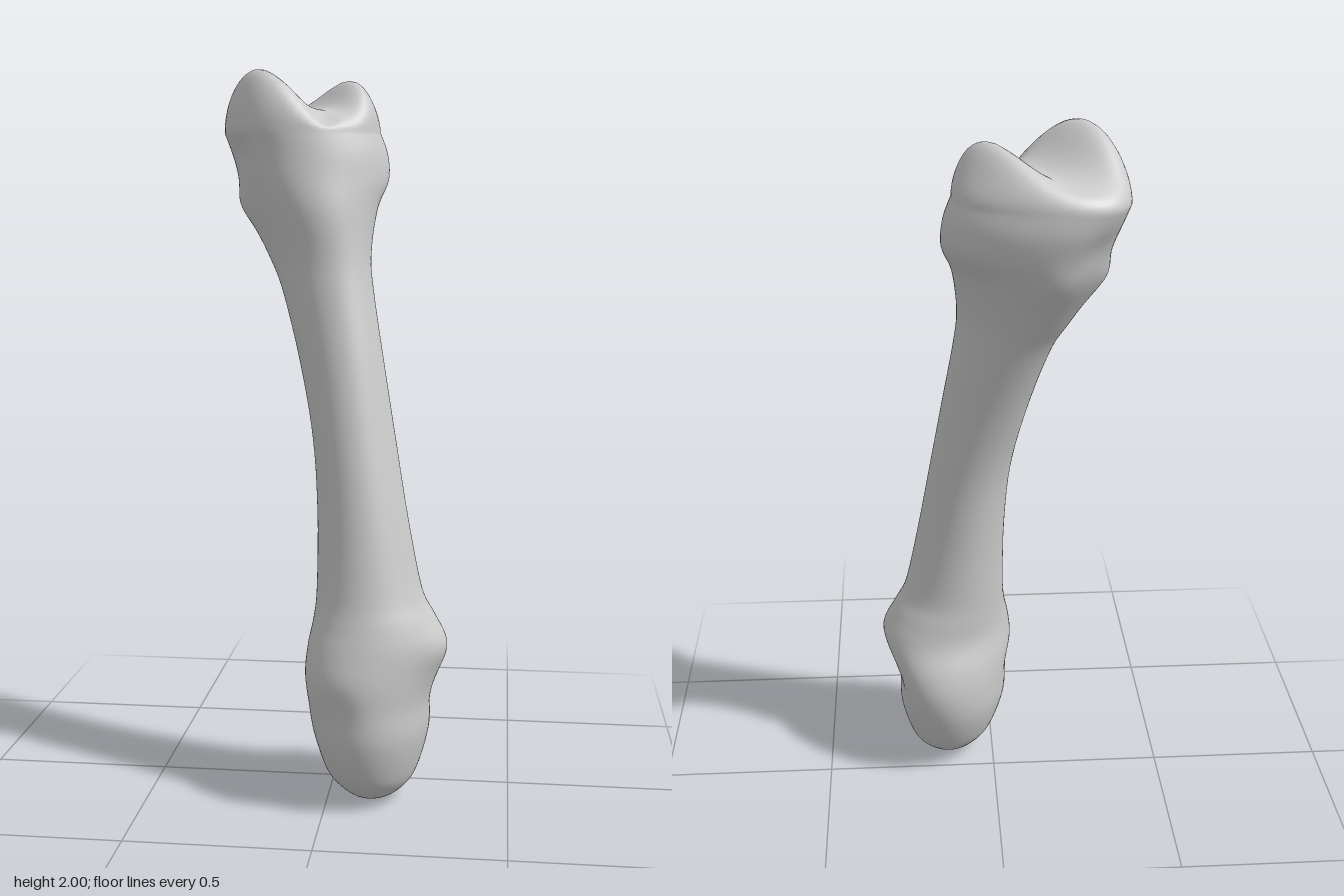
import * as THREE from 'three';

// The bone is lofted in its own axes: u runs across it, v runs from its back to its front.
// Section: [y, uMin, uMax, vMin, vMax, skew (v per u), taper (wider toward the front)]
const SECTIONS = [
  [0.00, -0.001, 0.001, 0.176, 0.178, -0.1, 0],
  [0.012, -0.06, 0.06, 0.125, 0.23, -0.1, 0],
  [0.05, -0.112, 0.112, 0.08, 0.277, -0.12, 0],
  [0.10, -0.15, 0.15, 0.045, 0.303, -0.14, 0],
  [0.20, -0.185, 0.188, 0.01, 0.327, -0.15, 0],
  [0.29, -0.205, 0.21, 0.003, 0.328, -0.13, 0],
  [0.37, -0.208, 0.214, 0.008, 0.336, -0.05, 0],
  [0.45, -0.19, 0.198, 0.025, 0.34, 0.06, 0],
  [0.52, -0.165, 0.17, 0.025, 0.325, 0.05, 0],
  [0.60, -0.145, 0.14, 0.02, 0.298, 0.02, 0],
  [0.80, -0.122, 0.118, 0.006, 0.25, 0, 0],
  [1.00, -0.11, 0.11, -0.022, 0.202, 0, 0],
  [1.20, -0.106, 0.11, -0.086, 0.155, 0, 0],
  [1.40, -0.11, 0.12, -0.172, 0.105, 0, 0],
  [1.50, -0.118, 0.13, -0.238, 0.085, 0.04, 0.03],
  [1.62, -0.145, 0.165, -0.315, 0.07, 0.08, 0.08],
  [1.70, -0.158, 0.212, -0.355, 0.06, 0.12, 0.18],
  [1.77, -0.168, 0.22, -0.39, 0.048, 0.14, 0.22],
  [1.83, -0.183, 0.207, -0.405, 0.03, 0.15, 0.22],
];

// Hollows (negative) and bumps (positive): [u, v, y, radius, amount]
const DETAILS = [
  [-0.19, 0.24, 0.28, 0.07, -0.016],
  [0.18, 0.24, 0.31, 0.07, -0.02],
  [0.11, 0.32, 0.44, 0.07, 0.016],
  [-0.13, 0.06, 0.30, 0.06, -0.01],
  [-0.1, -0.29, 1.63, 0.06, 0.014],
  [0.1, -0.29, 1.63, 0.06, 0.012],
  [0.02, -0.38, 1.74, 0.07, -0.016],
  [-0.17, -0.2, 1.78, 0.06, -0.01],
];

const SIDES = 72;
const STEPS = 5;
const CAP_RINGS = 18;

const gauss = (d, r) => Math.exp(-(d * d) / (r * r));
const toWorld = (u, v, y) => [(u + v) * Math.SQRT1_2, y, (v - u) * Math.SQRT1_2];

// Catmull-Rom interpolation of whole section rows
function sectionAt(t) {
  const last = SECTIONS.length - 1;
  const i = Math.min(Math.floor(t), last - 1);
  const f = t - i;
  const row = (k) => SECTIONS[Math.max(0, Math.min(last, k))];
  return row(i).map((p1, c) => {
    const p0 = row(i - 1)[c], p2 = row(i + 1)[c], p3 = row(i + 2)[c];
    return p1 + 0.5 * f * (p2 - p0 + f * (2 * p0 - 5 * p1 + 4 * p2 - p3 + f * (3 * (p1 - p2) + p3 - p0)));
  });
}

// Point of a section outline, scaled by r about its centre; shaft and base flare are squarer
function outline([y, u0, u1, v0, v1, skew, taper], angle, r = 1) {
  const power = 1 - 0.08 * gauss(y - 1, 0.45) - 0.1 * gauss(y - 1.62, 0.1);
  const round = (n) => Math.sign(n) * Math.abs(n) ** power;
  const a = round(Math.cos(angle)), b = round(Math.sin(angle));
  const du = (u1 - u0) / 2 * a * (1 + taper * b) * r;
  const dv = (v1 - v0) / 2 * b * r + skew * du;
  const u = (u0 + u1) / 2 + du;
  const v = (v0 + v1) / 2 + dv;
  const len = Math.hypot(du, dv) || 1;
  let push = 0;
  for (const [pu, pv, py, radius, amount] of DETAILS) {
    push += amount * gauss(Math.hypot(u - pu, v - pv, y - py), radius);
  }
  push *= r * Math.min(1, len / 0.08);
  return [u + du / len * push, v + dv / len * push];
}

// Saddle-shaped joint surface: two ridges with a trough that drops at the front
function topHeight(u, v) {
  return 1.885
    + 0.135 * gauss(u + 0.14, 0.09) * gauss(v + 0.19, 0.22)
    + 0.1 * gauss(u - 0.135, 0.06) * gauss(v + 0.07, 0.19)
    - 0.04 * gauss(u + 0.04, 0.04) * gauss(v - 0.01, 0.06);
}

function boneGeometry() {
  const positions = [];
  const index = [];
  const addRing = (point) => {
    for (let j = 0; j < SIDES; j++) positions.push(...point(j / SIDES * Math.PI * 2));
  };

  // Rounded lower head, shaft and flared base
  const count = (SECTIONS.length - 1) * STEPS;
  for (let i = 0; i <= count; i++) {
    const section = sectionAt(i / STEPS);
    addRing((angle) => toWorld(...outline(section, angle), section[0]));
  }

  // Joint surface closing the top
  const rim = SECTIONS[SECTIONS.length - 1];
  for (let i = 1; i <= CAP_RINGS; i++) {
    const r = Math.cos(i / CAP_RINGS * Math.PI / 2);
    const rise = Math.sqrt(1 - r ** 4.5);
    addRing((angle) => {
      const [u, v] = outline(rim, angle, Math.max(r, 0.001));
      return toWorld(u, v, rim[0] + (topHeight(u, v) - rim[0]) * rise);
    });
  }

  const rings = positions.length / 3 / SIDES;
  for (let i = 0; i < rings - 1; i++) {
    for (let j = 0; j < SIDES; j++) {
      const a = i * SIDES + j, b = i * SIDES + (j + 1) % SIDES;
      index.push(a, a + SIDES, b, b, a + SIDES, b + SIDES);
    }
  }
  const geometry = new THREE.BufferGeometry();
  geometry.setAttribute('position', new THREE.Float32BufferAttribute(positions, 3));
  geometry.setIndex(index);
  geometry.computeVertexNormals();
  return geometry;
}

export function createModel() {
  const group = new THREE.Group();
  group.name = 'longBone';
  const bone = new THREE.Mesh(
    boneGeometry(),
    new THREE.MeshStandardMaterial({ color: 0xcccccc }),
  );
  bone.name = 'bone';
  group.add(bone);
  return group;
}
